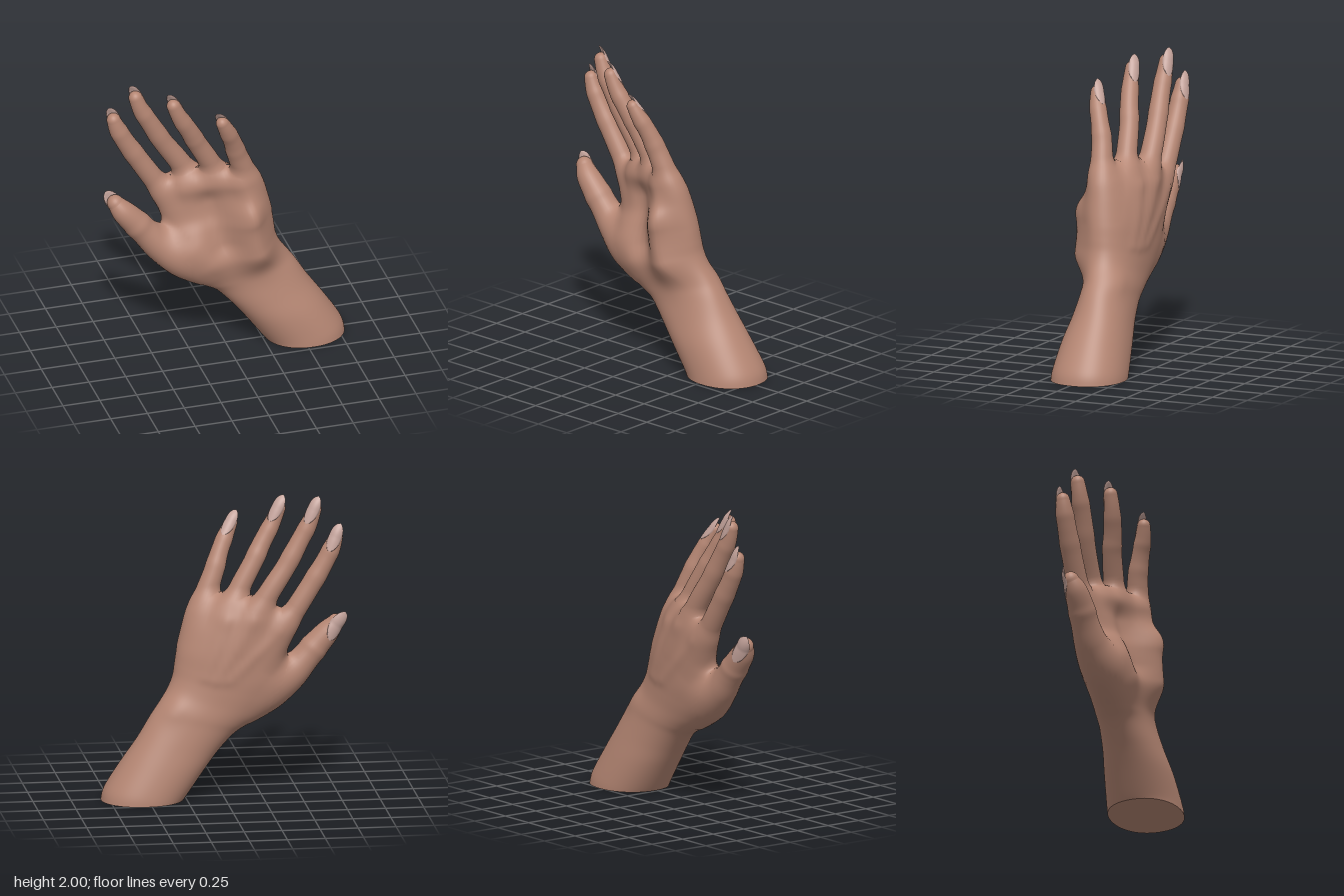
import * as THREE from 'three';

const V = (x, y, z) => new THREE.Vector3(x, y, z);

// Catmull-Rom interpolation through rows of numbers, t in 0..1
function sample(rows, t) {
  const n = rows.length - 1, f = t * n, i = Math.min(Math.floor(f), n - 1), k = f - i;
  const p = (j) => rows[Math.max(0, Math.min(n, j))];
  return rows[0].map((_, c) => {
    const a = p(i - 1)[c], b = p(i)[c], d = p(i + 1)[c], e = p(i + 2)[c];
    return b + 0.5 * k * (d - a + k * (2 * a - 5 * b + 4 * d - e + k * (3 * (b - d) + e - a)));
  });
}

// Skins closed rings of points
function loft(rings) {
  const m = rings[0].length, pos = [], idx = [];
  rings.forEach((r) => r.forEach((p) => pos.push(p.x, p.y, p.z)));
  for (let i = 0; i < rings.length - 1; i++) {
    for (let j = 0; j < m; j++) {
      const a = i * m + j, b = i * m + (j + 1) % m, c = a + m, d = b + m;
      idx.push(a, c, b, b, c, d);
    }
  }
  const g = new THREE.BufferGeometry();
  g.setAttribute('position', new THREE.Float32BufferAttribute(pos, 3));
  g.setIndex(idx);
  g.computeVertexNormals();
  return g;
}

// Rounds the join of two overlapping skins: vertices near the other skin swell
// outwards and share its normals
function meld(geo, other, k = 0.07) {
  const P = geo.attributes.position, N = geo.attributes.normal;
  const op = other.attributes.position.array, on = other.attributes.normal.array;
  for (let i = 0; i < P.count; i++) {
    const x = P.getX(i), y = P.getY(i), z = P.getZ(i), nB = V(0, 0, 0);
    let sum = 0, d = 0, near = 1;
    for (let j = 0; j < op.length; j += 3) {
      const dx = x - op[j], dy = y - op[j + 1], dz = z - op[j + 2], q = dx * dx + dy * dy + dz * dz;
      if (q > 0.012) continue;
      const w = 1 / (q + 1e-4) ** 3;
      near = Math.min(near, q);
      sum += w;
      d += w * (dx * on[j] + dy * on[j + 1] + dz * on[j + 2]);
      nB.x += w * on[j]; nB.y += w * on[j + 1]; nB.z += w * on[j + 2];
    }
    if (!sum) continue;
    d /= sum;
    if (d > 0) d = Math.max(d, Math.sqrt(near) - 0.02);
    const h = 1 - Math.abs(d) / k;
    if (h <= 0) continue;
    const g = V(N.getX(i), N.getY(i), N.getZ(i)).lerp(nB.normalize(), d > 0 ? h / 2 : 1 - h / 2);
    const s = h * h * k / 4 / Math.max(0.4, g.lengthSq());
    P.setXYZ(i, x + g.x * s, y + g.y * s, z + g.z * s);
    g.normalize();
    N.setXYZ(i, g.x, g.y, g.z);
  }
}

function segDist(x, y, [ax, ay, bx, by]) {
  const dx = bx - ax, dy = by - ay;
  const t = Math.max(0, Math.min(1, ((x - ax) * dx + (y - ay) * dy) / (dx * dx + dy * dy)));
  return Math.hypot(x - ax - t * dx, y - ay - t * dy);
}

// Soft ridges and hollows: line ax, ay, bx, by, then width and height
const palmBumps = [
  [0.18, 0.76, 0.13, 0.97, 0.15, 0.115],   // heel of the little finger side
  [-0.16, 0.68, -0.25, 0.78, 0.13, 0.04],  // thumb mound
  [-0.12, 1.1, -0.05, 0.82, 0.09, -0.04],  // hollow
  [-0.28, 1.22, 0.0, 1.26, 0.07, 0.02],    // pads under the fingers
  [0.10, 1.24, 0.13, 1.10, 0.11, 0.06],
];
const backBumps = [
  [-0.36, 1.12, -0.02, 0.8, 0.035, 0.008], // tendons
  [-0.17, 1.2, 0.06, 0.8, 0.035, 0.009],
  [-0.01, 1.2, 0.13, 0.82, 0.035, 0.008],
  [-0.37, 1.14, -0.36, 1.13, 0.06, 0.01],  // knuckles
  [-0.18, 1.21, -0.17, 1.2, 0.06, 0.01],
  [-0.02, 1.21, -0.01, 1.2, 0.06, 0.01],
  [0.36, 0.62, 0.34, 0.64, 0.08, 0.014],   // wrist bone
];
const relief = (list, x, y) => list.reduce((s, b) => s + b[5] * Math.exp(-((segDist(x, y, b) / b[4]) ** 2)), 0);

// Forearm and palm: thumb edge x, y; little finger edge x, y; edge z's; front, back; bow
const armRows = [
  [0.265, 0, 0.805, 0, -0.02, -0.02, 0.247, 0.24, 0],
  [0.235, 0.04, 0.78, 0.085, -0.02, -0.02, 0.243, 0.235, 0],
  [0.12, 0.2, 0.675, 0.25, -0.01, -0.02, 0.223, 0.212, 0],
  [0.03, 0.315, 0.565, 0.41, 0, -0.02, 0.19, 0.19, 0],
  [-0.07, 0.42, 0.48, 0.55, 0, -0.01, 0.16, 0.175, 0],
  [-0.16, 0.475, 0.425, 0.63, 0.01, 0, 0.14, 0.18, 0],
  [-0.27, 0.54, 0.365, 0.72, 0.015, 0.02, 0.13, 0.185, 0],
  [-0.37, 0.63, 0.33, 0.80, 0.01, 0.03, 0.13, 0.19, 0],
  [-0.44, 0.74, 0.315, 0.88, 0, 0.04, 0.125, 0.195, 0],
  [-0.43, 0.86, 0.30, 0.97, -0.02, 0.05, 0.115, 0.19, 0.01],
  [-0.405, 0.95, 0.28, 1.05, -0.05, 0.06, 0.105, 0.175, 0.02],
  [-0.42, 1.05, 0.25, 1.14, -0.07, 0.065, 0.1, 0.155, 0.03],
  [-0.45, 1.14, 0.22, 1.22, -0.085, 0.075, 0.088, 0.13, 0.045],
  [-0.44, 1.19, 0.19, 1.27, -0.09, 0.085, 0.072, 0.1, 0.06],
  [-0.42, 1.22, 0.165, 1.30, -0.09, 0.085, 0.047, 0.06, 0.06],
  [-0.40, 1.23, 0.15, 1.31, -0.09, 0.085, 0.001, 0.001, 0.06],
];

function armRing([ax, ay, bx, by, zA, zB, front, back, bow], seg = 72) {
  const ring = [];
  for (let j = 0; j < seg; j++) {
    const th = j / seg * Math.PI * 2, s = Math.sin(th);
    const c = Math.sign(Math.cos(th)) * Math.abs(Math.cos(th)) ** 0.93;
    const k = (c + 1) / 2, h = Math.abs(s) ** 0.93;
    const x = ax + (bx - ax) * k, y = ay + (by - ay) * k + bow * (1 - c * c);
    const bump = relief(s > 0 ? palmBumps : backBumps, x, y) * Math.min(1, h * 1.2) * Math.min(1, front / 0.07);
    ring.push(V(x, y, zA + (zB - zA) * k + (s > 0 ? front * h + bump : -back * h - bump)));
  }
  return ring;
}

function armGeometry() {
  const rings = [];
  for (let i = 0; i <= 100; i++) rings.push(armRing(sample(armRows, i / 100)));
  // Flat cut face, with its own ring for a sharp edge
  const cut = rings[0].map((p) => p.clone());
  return loft([cut.map(() => V(0.535, 0, -0.02)), cut, ...rings]);
}

// Axes at a point on a digit: along, side, towards the palm
function axes(path, t, back) {
  const p = sample(path, Math.max(0, t - 0.01)), q = sample(path, Math.min(1, t + 0.01));
  const along = V(q[0] - p[0], q[1] - p[1], q[2] - p[2]).normalize();
  const front = back.clone().negate().addScaledVector(along, back.dot(along)).normalize();
  return { along, front, side: along.clone().cross(front) };
}

function digitGeometry({ path, back, joints }) {
  const rings = [], seg = 28;
  const ring = (c, r, { side, front }) => rings.push(Array.from({ length: seg }, (_, j) => {
    const a = j / seg * Math.PI * 2;
    return c.clone().addScaledVector(side, Math.cos(a) * r).addScaledVector(front, Math.sin(a) * r);
  }));
  for (let i = 0; i <= 48; i++) {
    const t = i / 48, [x, y, z, r] = sample(path, t);
    const swell = joints.reduce((s, j) => s + 0.045 * Math.exp(-(((t - j) / 0.045) ** 2)), 1);
    ring(V(x, y, z), r * swell, axes(path, t, back));
  }
  // Rounded tip
  const [x, y, z, r] = path[path.length - 1], f = axes(path, 1, back);
  for (let k = 1; k <= 8; k++) {
    const a = k / 8 * Math.PI / 2;
    ring(V(x, y, z).addScaledVector(f.along, Math.sin(a) * r * 1.05), Math.max(1e-4, r * Math.cos(a)), f);
  }
  return loft(rings);
}

// Almond-shaped nail, lens-like in section, lying on the back of the fingertip
function nailGeometry({ path, back }) {
  const n = path.length, [x, y, z, r] = path[n - 1], q0 = path[n - 2];
  const slope = (q0[3] - r) / Math.hypot(x - q0[0], y - q0[1], z - q0[2]);
  const { along, side, front } = axes(path, 1, back), rings = [];
  for (let i = 0; i <= 20; i++) {
    const q = i / 20, d = -0.1 + q * (r + 0.148);
    const w = Math.max(0.001, 1 - Math.abs(2 * q - 1) ** 2.4) ** 0.6;
    rings.push(Array.from({ length: 24 }, (_, j) => {
      const v = j <= 12 ? j / 6 - 1 : 3 - j / 6, u = v * w * r * 0.95;
      const R = r * 1.08 - slope * Math.min(0, d), under = j > 12 ? 0.5 * r * w * (1 - v * v) : 0;
      const h = Math.sqrt(R * R - u * u) - r * 0.85 * q ** 4 - under;
      return V(x, y, z).addScaledVector(along, d).addScaledVector(side, u).addScaledVector(front, -h);
    }));
  }
  return loft(rings);
}

// Centre lines from inside the palm to the tip: x, y, z, radius
const digits = {
  indexFinger: {
    back: V(0.4, 0, -1), joints: [0.57, 0.8],
    path: [[-0.26, 0.93, -0.07, 0.065], [-0.352, 1.07, -0.088, 0.072], [-0.447, 1.23, -0.1, 0.071],
      [-0.56, 1.41, -0.1, 0.067], [-0.645, 1.55, -0.097, 0.063], [-0.702, 1.66, -0.095, 0.057], [-0.73, 1.735, -0.095, 0.046]],
  },
  middleFinger: {
    back: V(0.65, 0, -1), joints: [0.56, 0.78],
    path: [[-0.08, 1.02, -0.06, 0.062], [-0.21, 1.235, -0.08, 0.073], [-0.307, 1.39, -0.078, 0.07],
      [-0.407, 1.54, -0.065, 0.065], [-0.497, 1.70, -0.05, 0.061], [-0.56, 1.815, -0.043, 0.055], [-0.596, 1.908, -0.043, 0.046]],
  },
  ringFinger: {
    back: V(0.75, 0, -1), joints: [0.56, 0.78],
    path: [[0.03, 1.03, -0.02, 0.062], [-0.04, 1.23, -0.007, 0.074], [-0.115, 1.39, 0.015, 0.069],
      [-0.204, 1.55, 0.04, 0.064], [-0.265, 1.667, 0.068, 0.061], [-0.335, 1.79, 0.092, 0.054], [-0.38, 1.89, 0.1, 0.046]],
  },
  littleFinger: {
    back: V(0.6, 0, -1), joints: [0.55, 0.78],
    path: [[0.18, 1.02, 0.05, 0.068], [0.142, 1.2, 0.075, 0.082], [0.095, 1.34, 0.098, 0.075],
      [0.042, 1.48, 0.122, 0.066], [0, 1.60, 0.157, 0.059], [-0.045, 1.7, 0.193, 0.053], [-0.082, 1.775, 0.213, 0.043]],
  },
  thumb: {
    back: V(-0.35, 0, -1), joints: [0.62],
    path: [[-0.16, 0.6, 0.01, 0.09], [-0.29, 0.69, 0.01, 0.125], [-0.43, 0.795, -0.01, 0.113],
      [-0.535, 0.905, -0.015, 0.094], [-0.615, 1.0, -0.015, 0.087], [-0.69, 1.085, -0.02, 0.076], [-0.735, 1.145, -0.035, 0.055]],
  },
};

export function createModel() {
  const model = new THREE.Group();
  model.name = 'hand';
  const skin = new THREE.MeshStandardMaterial({ name: 'skin', color: 0xb58673 });
  const nail = new THREE.MeshStandardMaterial({ name: 'nail', color: 0xc4a39b });
  const add = (parent, name, geometry, material) => {
    const mesh = new THREE.Mesh(geometry, material);
    mesh.name = name;
    parent.add(mesh);
  };
  const arm = armGeometry(), plainArm = arm.clone();
  add(model, 'forearmAndPalm', arm, skin);
  for (const [name, digit] of Object.entries(digits)) {
    const group = new THREE.Group(), flesh = digitGeometry(digit);
    group.name = name;
    meld(arm, flesh);
    meld(flesh, plainArm);
    add(group, name + 'Flesh', flesh, skin);
    add(group, name + 'Nail', nailGeometry(digit), nail);
    model.add(group);
  }
  return model;
}
